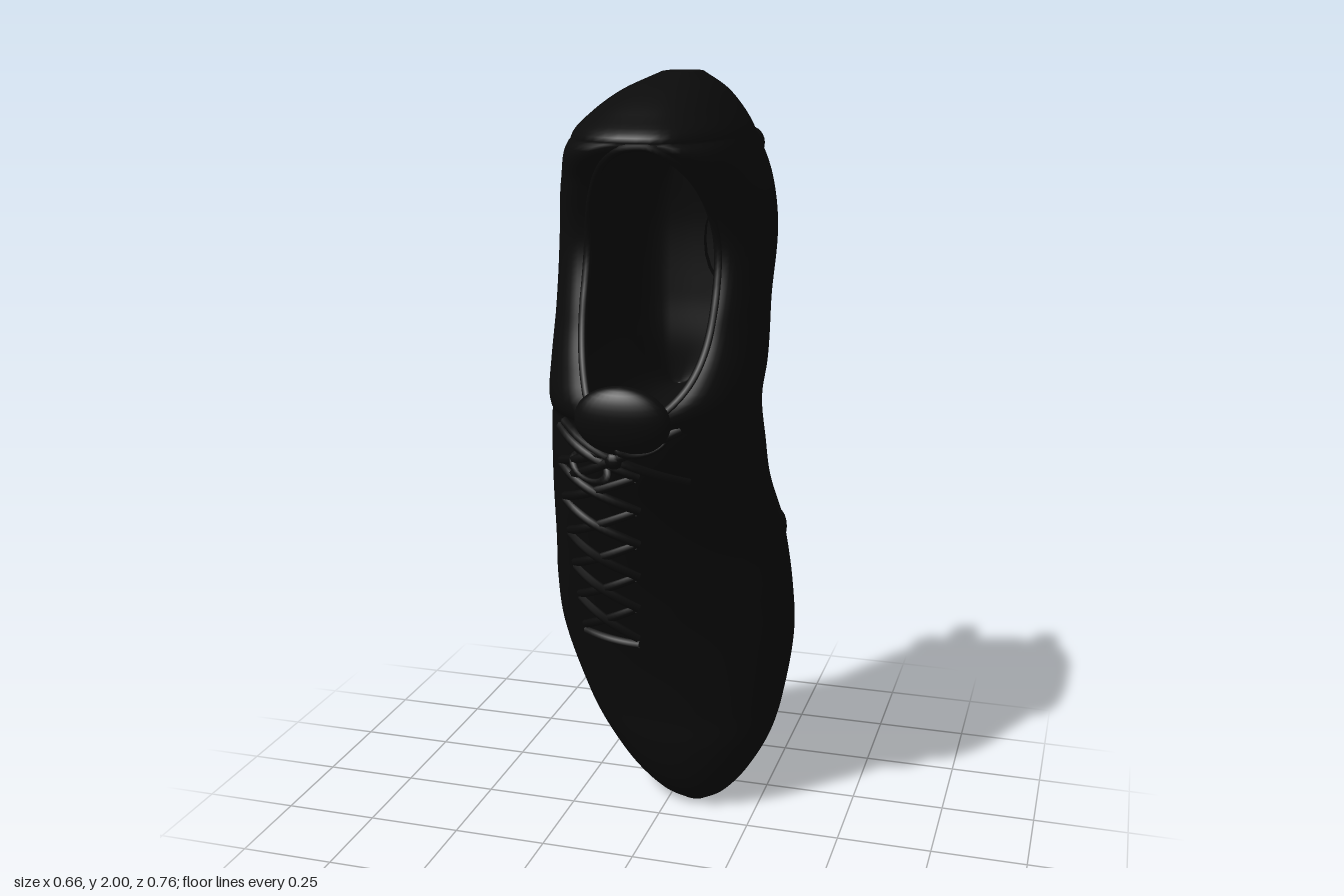
import * as THREE from 'three';
import { mergeVertices } from 'three/addons/utils/BufferGeometryUtils.js';

// Shoe stations: height, right edge, left edge, crest x, sole z, top z
const ROWS = [
  [0, 0.03, 0.1, 0.07, -0.15, -0.11],
  [0.03, -0.04, 0.155, 0.07, -0.19, -0.07],
  [0.1, -0.12, 0.215, 0.06, -0.215, -0.03],
  [0.2, -0.2, 0.27, 0.05, -0.247, 0],
  [0.3, -0.255, 0.3, 0.03, -0.262, 0.015],
  [0.5, -0.32, 0.33, -0.02, -0.288, 0.07],
  [0.65, -0.33, 0.322, -0.05, -0.308, 0.125],
  [0.8, -0.32, 0.298, -0.07, -0.328, 0.185],
  [0.95, -0.305, 0.272, -0.07, -0.31, 0.245],
  [1.1, -0.29, 0.278, -0.03, -0.298, 0.305],
  [1.21, -0.281, 0.282, 0.01, -0.29, 0.325],
  [1.3, -0.275, 0.293, 0.03, -0.285, 0.287],
  [1.42, -0.27, 0.292, 0.035, -0.29, 0.232],
  [1.6, -0.258, 0.288, 0.038, -0.285, 0.19],
  [1.75, -0.232, 0.262, 0.045, -0.26, 0.265],
  [1.86, -0.19, 0.222, 0.055, -0.238, 0.37],
  [1.91, -0.15, 0.19, 0.05, -0.225, 0.295],
  [1.96, -0.085, 0.145, 0.04, -0.19, 0.18],
  [2, 0, 0.09, 0.04, -0.12, 0.04],
];
const OPEN = [1.18, 1.85];
const OPEN_MID = (OPEN[0] + OPEN[1]) / 2, OPEN_HALF = (OPEN[1] - OPEN[0]) / 2;
const step = THREE.MathUtils.smoothstep;

// Smooth interpolation of all station values
function station(y) {
  let i = 0;
  while (i < ROWS.length - 2 && y > ROWS[i + 1][0]) i++;
  const a = ROWS[i], b = ROWS[i + 1], p = ROWS[Math.max(i - 1, 0)], q = ROWS[Math.min(i + 2, ROWS.length - 1)];
  const h = b[0] - a[0], t = (y - a[0]) / h;
  const v = a.map((av, k) => {
    const ma = h * (b[k] - p[k]) / (b[0] - p[0]), mb = h * (q[k] - av) / (q[0] - a[0]);
    const t2 = t * t, t3 = t2 * t;
    return (2 * t3 - 3 * t2 + 1) * av + (t3 - 2 * t2 + t) * ma + (3 * t2 - 2 * t3) * b[k] + (t3 - t2) * mb;
  });
  // Half width of the foot opening
  const o = Math.abs((y - OPEN_MID) / OPEN_HALF);
  const rim = o < 1 ? 0.165 * Math.sqrt(1 - Math.pow(o, 2.6)) : 0;
  // Strength of the arch, which cuts away the lower inner side
  const arch = step(y, 0.78, 1.28) * (1 - 0.85 * step(y, 1.45, 1.8));
  return { right: v[1], left: v[2], c: v[3], sole: v[4], top: v[5], rim, arch, heel: step(y, 1.4, 1.65) };
}

// One side: half width, height of the widest point, roundness below and above it
function flank(s, side) {
  const rise = (side > 0 ? 0.32 : 0.28) + s.arch * (side > 0 ? 0.32 : 0.07);
  return {
    w: side > 0 ? s.left - s.c : s.c - s.right,
    mid: s.sole + rise * (s.top - s.sole),
    e: 0.7 + s.arch * (side > 0 ? 0.4 : 0.2) - s.heel * 0.08,
    u: 1 - s.heel * 0.18,
  };
}

// Outer skin point: t = 0 at the sole centre, 1 at the rim or crest
function skin(s, side, t) {
  const { w, mid, e, u } = flank(s, side);
  if (t < 0.5) {
    const a = t * Math.PI;
    return [s.c + side * w * Math.pow(Math.sin(a), e), mid - (mid - s.sole) * Math.pow(Math.max(Math.cos(a), 0), e)];
  }
  const a = (t - 0.5) * Math.PI;
  const r = Math.min(s.rim, w * 0.95);
  const across = t === 1 ? 0 : Math.pow(Math.max(Math.cos(a), 0), u);
  return [s.c + side * (r + (w - r) * across), mid + (s.top - mid) * Math.pow(Math.sin(a), u)];
}

// Height of the upper at a point
function topZ(x, y) {
  const s = station(y), { w, mid } = flank(s, x > s.c ? 1 : -1);
  const k = Math.max(0, Math.abs(x - s.c) - s.rim) / (w - s.rim);
  return mid + (s.top - mid) * Math.sqrt(Math.max(0, 1 - k * k));
}

// Surface through equal rows of points, optionally leaving out one strip
function loft(rows, skip = -1) {
  const n = rows[0].length, index = [];
  for (let j = 0; j < rows.length - 1; j++)
    for (let i = 0; i < n - 1; i++) {
      if (i === skip) continue;
      const a = j * n + i, b = a + n;
      index.push(a, b, a + 1, a + 1, b, b + 1);
    }
  const g = new THREE.BufferGeometry();
  g.setAttribute('position', new THREE.Float32BufferAttribute(rows.flat(2), 3));
  g.setIndex(index);
  const m = mergeVertices(g, 1e-5);
  m.computeVertexNormals();
  return m;
}

export function createModel() {
  const model = new THREE.Group();
  const black = new THREE.MeshStandardMaterial({ color: 0x0b0b0b });
  black.name = 'black';
  black.side = THREE.DoubleSide;
  const add = (name, geometry, parent = model) => {
    const m = new THREE.Mesh(geometry, black);
    m.name = name;
    parent.add(m);
    return m;
  };
  const group = (name) => {
    const g = new THREE.Group();
    g.name = name;
    model.add(g);
    return g;
  };
  const V = (x, y, z) => new THREE.Vector3(x, y, z);

  // Upper and sole as one skin, open at the collar
  const ys = [...OPEN];
  for (let i = 0; i <= 150; i++) ys.push(1 - Math.cos((i / 150) * Math.PI));
  ys.sort((a, b) => a - b);
  const N = 24;
  const rows = ys.map((y) => {
    const s = station(y), row = [];
    for (let i = 0; i <= N; i++) { const p = skin(s, 1, i / N); row.push([p[0], y, p[1]]); }
    for (let i = N; i >= 0; i--) { const p = skin(s, -1, i / N); row.push([p[0], y, p[1]]); }
    return row;
  });
  const cap = (y) => { const s = station(y); return rows[0].map(() => [s.c, y, (s.sole + s.top) / 2]); };
  add('upper', loft([cap(0), ...rows, cap(2)], N));

  // Lining and insole inside the opening
  const lining = [];
  for (let j = 0; j <= 60; j++) {
    const y = OPEN_MID - OPEN_HALF * Math.cos((j / 60) * Math.PI), s = station(y), floor = s.sole + 0.1, row = [];
    for (let i = 0; i <= 24; i++) {
      const a = (i / 24) * Math.PI;
      row.push([s.c + s.rim * Math.sign(Math.cos(a)) * Math.pow(Math.abs(Math.cos(a)), 0.5), y,
        s.top - (s.top - floor) * Math.pow(Math.max(Math.sin(a), 0), 0.7)]);
    }
    lining.push(row);
  }
  add('lining', loft(lining));

  // Padded collar edge
  const edge = [];
  for (let i = 0; i < 40; i++) {
    const a = (i / 40) * Math.PI * 2, y = OPEN_MID + OPEN_HALF * 0.995 * Math.sin(a), s = station(y);
    edge.push(V(s.c + Math.sign(Math.cos(a)) * s.rim, y, s.top - 0.008));
  }
  add('collar', new THREE.TubeGeometry(new THREE.CatmullRomCurve3(edge, true), 120, 0.012, 8, true));

  // Tongue filling the throat
  const tongue = add('tongue', new THREE.SphereGeometry(1, 28, 18));
  tongue.scale.set(0.12, 0.09, 0.05);
  tongue.position.set(0.005, 1.2, 0.328);
  tongue.rotation.x = 0.2;

  // Crossed laces lying on the upper
  const laces = group('laces');
  const lace = (x0, y0, x1, y1, lift = 0.004) => {
    const pts = [];
    for (let i = 0; i <= 6; i++) {
      const t = i / 6, x = x0 + (x1 - x0) * t, y = y0 + (y1 - y0) * t;
      pts.push(V(x, y, topZ(x, y) + lift * Math.sin(t * Math.PI)));
    }
    add('lace', new THREE.TubeGeometry(new THREE.CatmullRomCurve3(pts), 16, 0.012, 6), laces);
  };
  for (let i = 0; i < 6; i++) {
    const y = 0.56 + i * 0.1, l = -0.19, r = -0.03 + i * 0.012;
    lace(l, y, r, y + 0.085);
    lace(r, y - 0.01, l, y + 0.09, 0.01);
  }
  lace(-0.19, 0.54, -0.03, 0.53);
  lace(-0.17, 1.17, 0.14, 1.03, 0.012);
  lace(-0.16, 1.03, 0.14, 1.18, 0.016);

  // Knot with two loops
  const knot = add('laceKnot', new THREE.SphereGeometry(0.024, 14, 10), laces);
  knot.position.set(-0.02, 1.1, 0.315);
  for (const side of [-1, 1]) {
    const loop = add('laceLoop', new THREE.TorusGeometry(0.045, 0.01, 6, 24), laces);
    const x = -0.02 + side * 0.07, y = 1.11 + side * 0.04;
    loop.scale.set(1.3, 0.7, 1);
    loop.position.set(x, y, topZ(x, y) + 0.004);
    loop.rotation.set(-0.4, side * 0.35, side * 0.4);
  }

  // Studs with flared bases: x, y, tip z, width, length, lean
  const studs = group('studs');
  const flare = [[0.085, -0.07], [0.074, 0.005], [0.055, 0.05], [0.047, 0.09], [0.044, 0.122], [0.034, 0.135], [0, 0.135]];
  const stud = (x, y, z, wide, long, lean = 0) => {
    const g = new THREE.LatheGeometry(flare.map((p) => new THREE.Vector2(p[0], p[1] - 0.135)), 20);
    g.scale(wide, 1, long);
    g.rotateX(-Math.PI / 2 + lean);
    add('stud', g, studs).position.set(x, y, z);
  };
  for (const side of [-1, 1]) {
    stud(0.012 + side * 0.14, 1.81, -0.358, 0.85, 0.95, 0.15);
    stud(0.002 + side * 0.142, 1.57, -0.373, 0.85, 1.45);
    stud(side * 0.232, 0.745, -0.38, 0.8, 1.3);
    stud(0.01 + side * 0.2, 0.39, -0.355, 0.8, 1.15, -0.1);
    stud(0.06 + side * 0.085, 0.145, -0.308, 0.75, 1, -0.15);
  }
  stud(0.025, 0.595, -0.36, 1.4, 0.85);

  return model;
}
